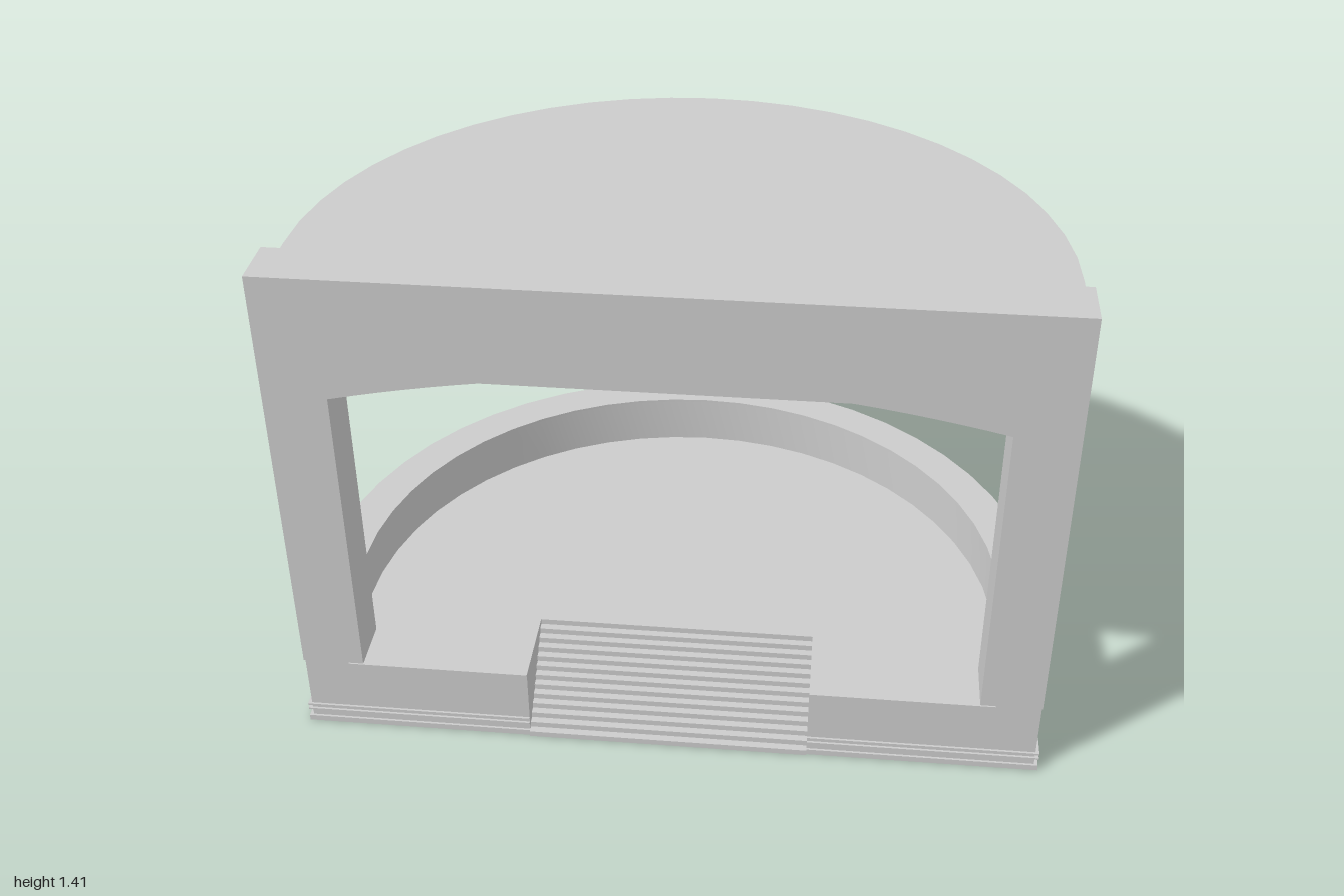
import * as THREE from 'three';
import { toCreasedNormals } from 'three/addons/utils/BufferGeometryUtils.js';

const material = new THREE.MeshStandardMaterial({ color: 0xcccccc, side: THREE.DoubleSide });
const CZ = 0.35;      // centre of the rounded back
const FRONT = 0.635;  // front plane
const BACK = 0.49;    // rear of the portal
const FLOOR = 0.215;
const TOP = 1.41;
const OPEN = 0.83;    // half width of the opening
const STAIR = 0.38;   // half width of the stairs
const STAIR_BACK = 0.385;
const SEGMENTS = 26;

export function createModel() {
  const model = new THREE.Group();

  const add = (name, geometry) => {
    const mesh = new THREE.Mesh(geometry, material);
    mesh.name = name;
    model.add(mesh);
    return mesh;
  };
  const box = (name, x0, x1, y0, y1, z0, z1) => {
    const g = new THREE.BoxGeometry(Math.abs(x1 - x0), y1 - y0, z1 - z0);
    g.translate((x0 + x1) / 2, (y0 + y1) / 2, (z0 + z1) / 2);
    return add(name, g);
  };

  // Half-round plan line from the left front corner around the back, as (x, -z)
  const plan = (r, front) => {
    const pts = [new THREE.Vector2(r, -front)];
    for (let i = 0; i <= SEGMENTS; i++) {
      const a = (Math.PI * i) / SEGMENTS;
      pts.push(new THREE.Vector2(r * Math.cos(a), r * Math.sin(a) - CZ));
    }
    pts.push(new THREE.Vector2(-r, -front));
    return pts;
  };
  // Extrude a plan outline upwards between two heights
  const rise = (name, pts, y0, y1) => {
    const g = new THREE.ExtrudeGeometry(new THREE.Shape(pts), { depth: y1 - y0, bevelEnabled: false });
    g.rotateX(-Math.PI / 2);
    g.translate(0, y0, 0);
    return add(name, toCreasedNormals(g, 0.5));
  };
  const band = (name, rOut, rIn, front, y0, y1) =>
    rise(name, [...plan(rOut, front), ...plan(rIn, front).reverse()], y0, y1);
  // Extrude a front elevation between two depths
  const elevation = (name, pts, z0, z1) => {
    const shape = new THREE.Shape(pts.map(([x, y]) => new THREE.Vector2(x, y)));
    const g = new THREE.ExtrudeGeometry(shape, { depth: z1 - z0, bevelEnabled: false });
    g.translate(0, 0, z0);
    return add(name, toCreasedNormals(g, 0.3));
  };

  // Hollow base: curved skirt and floor with a notch for the stairs
  band('baseWall', 0.99, 0.982, FRONT, 0, FLOOR);
  const notch = [[-STAIR, FRONT], [-STAIR, STAIR_BACK], [STAIR, STAIR_BACK], [STAIR, FRONT]]
    .map(([x, z]) => new THREE.Vector2(x, -z));
  rise('floor', [...plan(0.988, FRONT), ...notch], FLOOR - 0.006, FLOOR);

  // Low parapet around the back, with a small stepped edge
  band('parapet', 0.995, 0.88, BACK, FLOOR, 0.353);
  band('parapetCap', 0.985, 0.88, BACK, 0.353, 0.36);

  // Roof slab
  rise('roof', plan(0.99, FRONT - 0.01), 1.145, 1.345);

  // Arch line of the opening, from right to left
  const arch = [];
  for (const s of [-1, 1]) {
    for (let i = 0; i <= 6; i++) {
      const t = s < 0 ? i / 6 : 1 - i / 6;
      const x = OPEN + (0.45 - OPEN) * t;
      arch.push([s * x, 1.075 + 0.07 * (1.25 * t - 0.25 * t * t)]);
    }
  }

  // Portal: front plate and solid header
  elevation('portalFront', [
    [-0.995, FLOOR], [-OPEN, FLOOR], ...arch, [OPEN, FLOOR], [0.995, FLOOR], [0.995, TOP], [-0.995, TOP],
  ], FRONT - 0.008, FRONT);
  elevation('header', [...arch, [OPEN, TOP], [-OPEN, TOP]], BACK, FRONT - 0.004);
  box('portalTop', -0.995, 0.995, TOP - 0.006, TOP, BACK, FRONT);

  for (const s of [-1, 1]) {
    // Pillar channel, open at the rear
    box('pillarOuterSide', s * 0.987, s * 0.995, FLOOR, TOP, BACK, FRONT);
    box('pillarInnerSide', s * OPEN, s * (OPEN + 0.006), FLOOR, 1.145, BACK, FRONT);
    // Base front and stair cheek
    box('baseFront', s * STAIR, s * 0.99, 0, FLOOR, FRONT - 0.008, FRONT);
    box('stairCheek', s * STAIR, s * (STAIR + 0.006), 0, FLOOR, STAIR_BACK, FRONT);
    // Thin trim strips along the front and the straight sides
    for (const [y0, y1] of [[0, 0.017], [0.039, 0.044], [0.055, 0.06]]) {
      box('frontTrim', s * STAIR, s * 1, y0, y1, FRONT - 0.004, 0.641);
      box('sideTrim', s * 0.985, s * 1, y0, y1, 0.353, 0.641);
    }
    // Floor edge line in front of the portal
    box('floorEdge', s * STAIR, s * 0.87, FLOOR - 0.003, FLOOR + 0.001, FRONT - 0.004, 0.639);
  }

  // Stairs: folded sheet of risers and treads
  const steps = 13;
  const rise1 = FLOOR / steps;
  const run = (0.645 - STAIR_BACK) / steps;
  for (let i = 0; i < steps; i++) {
    const z = 0.645 - i * run;
    const y = (i + 1) * rise1;
    box('riser', -STAIR, STAIR, y - rise1, y, z - 0.002, z);
    box('tread', -STAIR, STAIR, y - 0.002, y, z - run, z);
  }

  return model;
}
